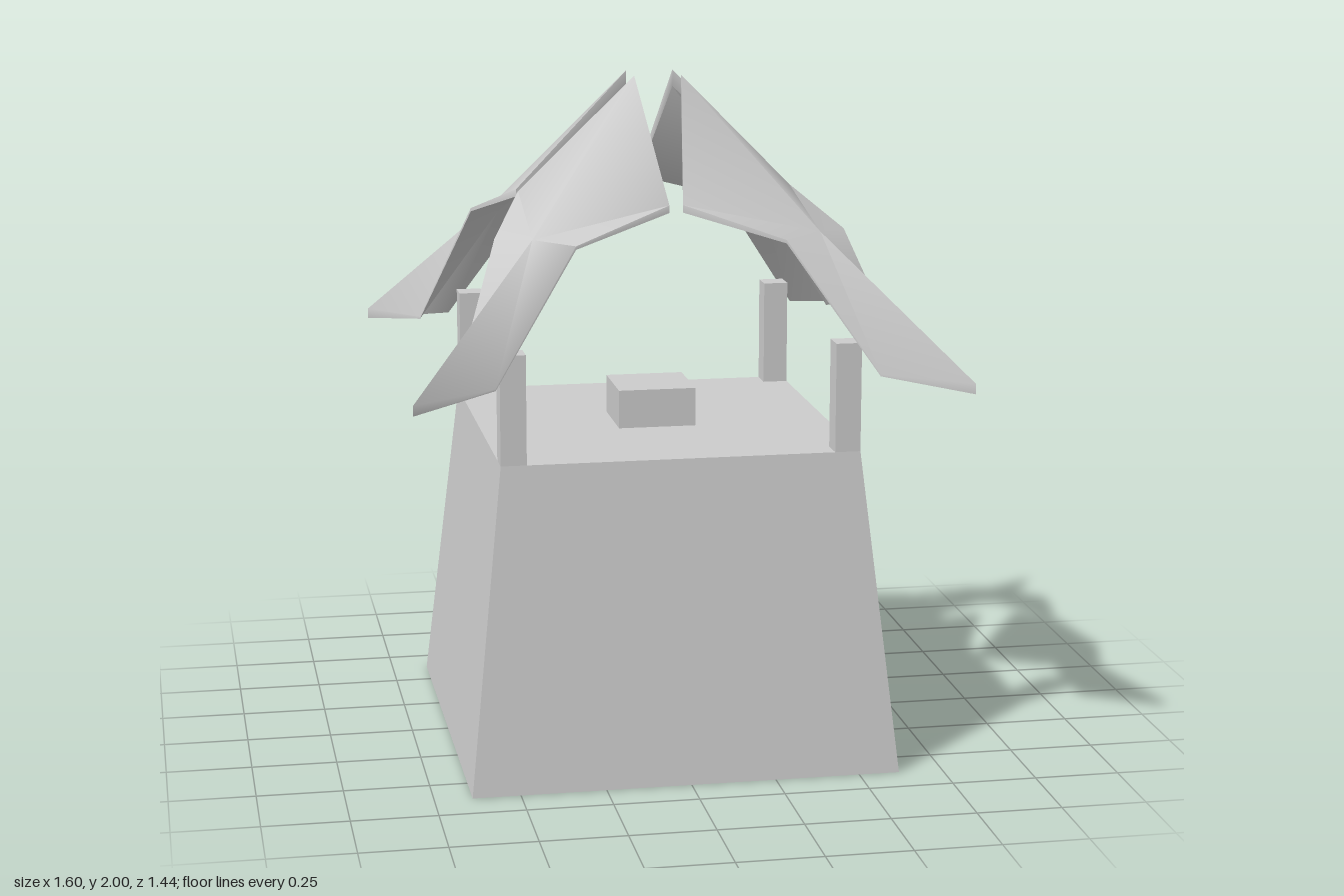
import * as THREE from 'three';
import { toCreasedNormals } from 'three/addons/utils/BufferGeometryUtils.js';

const material = new THREE.MeshStandardMaterial({ color: 0xcccccc });

function addBox(parent, name, [x0, x1], [y0, y1], [z0, z1]) {
  const geo = new THREE.BoxGeometry(x1 - x0, y1 - y0, z1 - z0);
  geo.translate((x0 + x1) / 2, (y0 + y1) / 2, (z0 + z1) / 2);
  const mesh = new THREE.Mesh(geo, material);
  mesh.name = name;
  parent.add(mesh);
  return mesh;
}

// Roof corner plate: x, y, z and thickness of each outline point, then the ridge point
const plate = [
  [0.07, 2.0, 0.07, 0.05],   // peak
  [0.02, 1.66, 0.37, 0.022], // upper corner
  [0.305, 1.565, 0.46, 0.01], // waist
  [0.555, 1.19, 0.59, 0.006], // eave
  [0.8, 1.18, 0.72, 0.03],   // tip
  [0.655, 1.19, 0.5, 0.006],
  [0.515, 1.565, 0.285, 0.01],
  [0.41, 1.66, 0.02, 0.022],
  [0.42, 1.575, 0.39, 0.04], // ridge
];

// Closed plate for one quadrant; the winding flips where the plate is mirrored
function roofPlateGeometry(sx, sz) {
  const n = plate.length, rim = n - 1, index = [];
  const tri = (a, b, c) => index.push(...(sx * sz > 0 ? [a, b, c] : [a, c, b]));
  const positions = [
    ...plate.flatMap(([x, y, z]) => [sx * x, y, sz * z]),
    ...plate.flatMap(([x, y, z, t]) => [sx * x, y - t, sz * z]),
  ];
  for (let i = 0; i < rim; i++) {
    const j = (i + 1) % rim;
    tri(rim, i, j);
    tri(rim + n, j + n, i + n);
    tri(i, i + n, j + n);
    tri(i, j + n, j);
  }
  const geo = new THREE.BufferGeometry();
  geo.setAttribute('position', new THREE.Float32BufferAttribute(positions, 3));
  geo.setIndex(index);
  return toCreasedNormals(geo, 1.15);
}

export function createModel() {
  const model = new THREE.Group();
  model.name = 'openTower';

  // Tapered base: pull the top face of a box inwards
  const base = addBox(model, 'base', [-0.64, 0.62], [0, 0.95], [-0.63, 0.63]);
  const p = base.geometry.attributes.position;
  for (let i = 0; i < p.count; i++) {
    if (p.getY(i) > 0.5) {
      p.setX(i, -0.01 + Math.sign(p.getX(i)) * 0.525);
      p.setZ(i, Math.sign(p.getZ(i)) * 0.525);
    }
  }
  base.geometry.computeVertexNormals();

  // Block in the middle of the platform
  addBox(model, 'centreBlock', [-0.125, 0.108], [0.95, 1.065], [-0.115, 0.115]);

  // Corner posts and roof plates
  for (const sx of [-1, 1]) {
    for (const sz of [-1, 1]) {
      const corner = (sz > 0 ? 'front' : 'back') + (sx > 0 ? 'Left' : 'Right');
      addBox(model, corner + 'Post',
        sx > 0 ? [0.44, 0.515] : [-0.535, -0.46],
        [0.95, 1.27],
        sz > 0 ? [0.45, 0.525] : [-0.525, -0.45]);
      const roof = new THREE.Mesh(roofPlateGeometry(sx, sz), material);
      roof.name = corner + 'RoofPlate';
      model.add(roof);
    }
  }
  return model;
}
